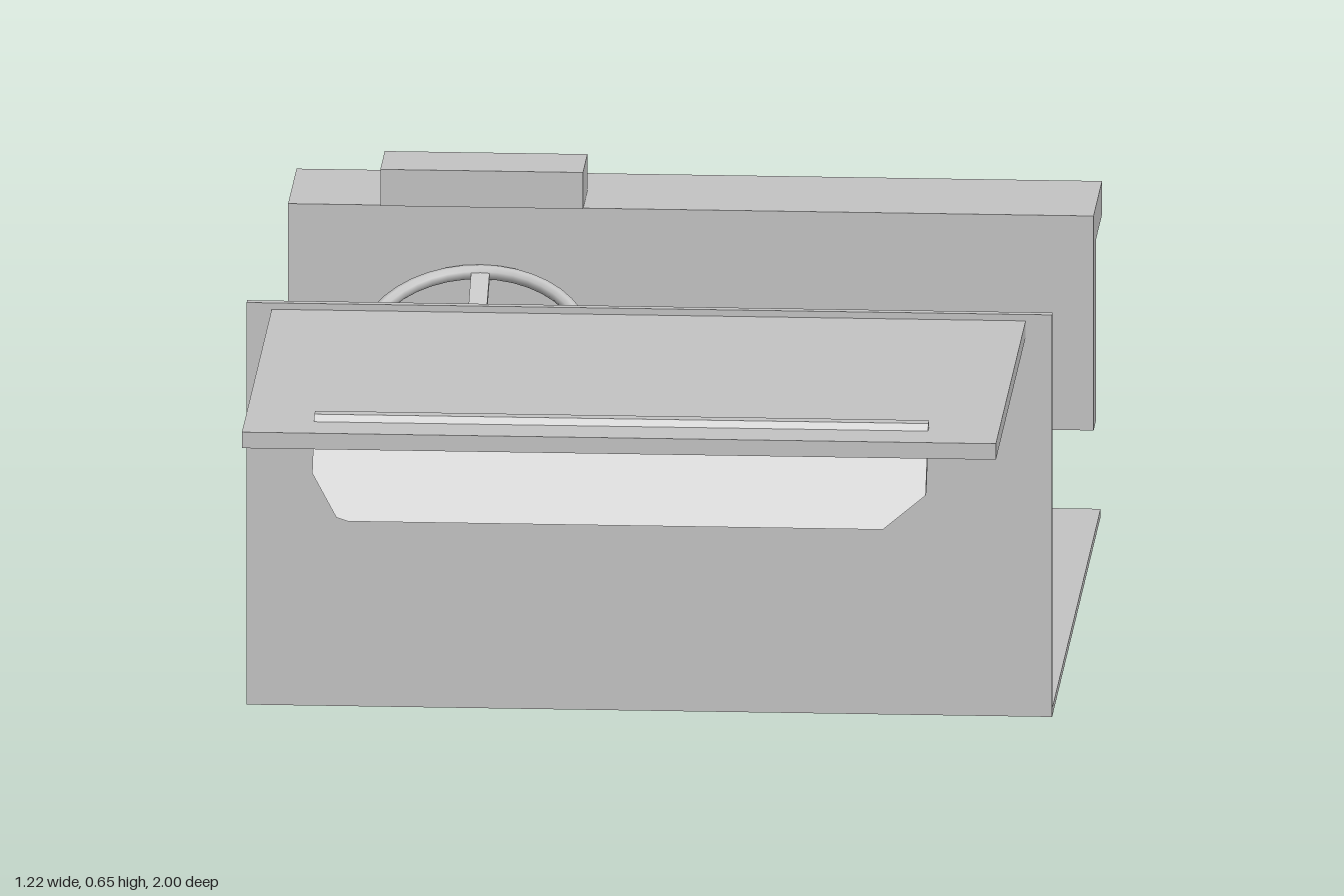
import * as THREE from 'three';

export function createModel() {
  const model = new THREE.Group();
  model.name = 'vehicleInterior';
  const grey = new THREE.MeshStandardMaterial({ color: 0xc4c4c4 });
  grey.name = 'grey';

  const add = (name, geometry, parent = model) => {
    const mesh = new THREE.Mesh(geometry, grey);
    mesh.name = name;
    parent.add(mesh);
    return mesh;
  };
  // Box given by its lower and upper limits on each axis
  const box = (name, [x0, x1], [y0, y1], [z0, z1]) =>
    add(name, new THREE.BoxGeometry(x1 - x0, y1 - y0, z1 - z0))
      .position.set((x0 + x1) / 2, (y0 + y1) / 2, (z0 + z1) / 2);

  // Floor, bulkhead, front shelf and centre tunnel
  box('floor', [-0.61, 0.61], [0.02, 0.032], [-0.965, 0.225]);
  box('bulkhead', [-0.61, 0.61], [0.02, 0.648], [0.225, 0.239]);
  box('frontShelf', [-0.572, 0.57], [0.613, 0.638], [0.239, 0.977]);
  box('centreTunnel', [-0.095, 0.09], [0.032, 0.115], [-0.94, 0.225]);

  // Dashboard: L-shaped section running the full width, with instrument box
  const section = new THREE.Shape([
    [0.79, 0.2], [0.845, 0.2], [0.845, 0.483], [1.0, 0.483], [1.0, 0.535], [0.79, 0.535],
  ].map(([z, y]) => new THREE.Vector2(z, y)));
  const dash = new THREE.ExtrudeGeometry(section, { depth: 1.22, bevelEnabled: false });
  dash.rotateY(Math.PI / 2).translate(-0.61, 0, 0);
  add('dashboard', dash);
  box('instrumentBox', [-0.47, -0.163], [0.535, 0.592], [-0.895, -0.785]);

  // Sloping front panel with cut lower corners, sheared forward towards its foot
  const outline = new THREE.Shape([
    [-0.467, 0.648], [-0.467, 0.57], [-0.428, 0.512], [-0.41, 0.507],
    [0.4, 0.507], [0.463, 0.553], [0.463, 0.648],
  ].map(([x, y]) => new THREE.Vector2(x, y)));
  const panel = new THREE.ExtrudeGeometry(outline, { depth: 0.02, bevelEnabled: false });
  const p = panel.attributes.position;
  for (let i = 0; i < p.count; i++) p.setZ(i, p.getZ(i) + 0.881 + (0.648 - p.getY(i)) * 0.7);
  panel.computeVertexNormals();
  add('frontPanel', panel);

  // Steering wheel and column share one tilted axis
  const steering = new THREE.Group();
  steering.name = 'steering';
  steering.position.set(-0.318, 0.355, -0.638);
  steering.rotation.x = 0.49;
  model.add(steering);
  add('wheelRim', new THREE.TorusGeometry(0.168, 0.011, 8, 40).rotateX(Math.PI / 2), steering);
  add('wheelHub', new THREE.CylinderGeometry(0.042, 0.042, 0.022, 20), steering);
  for (let i = 0; i < 3; i++) {
    const spoke = new THREE.BoxGeometry(0.028, 0.012, 0.15).translate(0, 0, -0.092);
    add('wheelSpoke', spoke.rotateY(i * Math.PI * 2 / 3), steering);
  }
  const column = new THREE.CylinderGeometry(0.02, 0.02, 0.39, 12).translate(0, -0.195, 0);
  add('steeringColumn', column, steering);

  return model;
}
